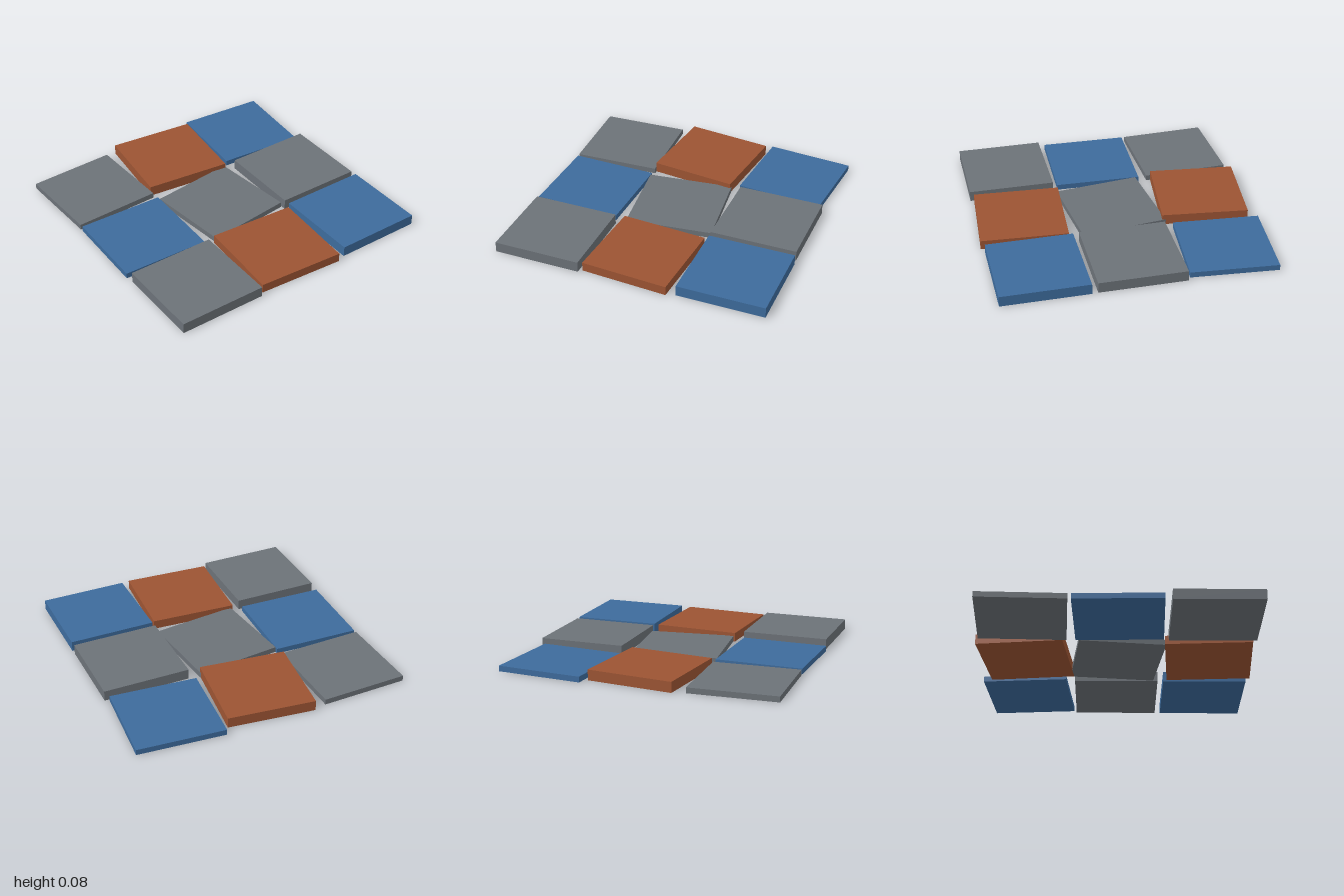
import * as THREE from 'three';

const WIDTH = 0.626, DEPTH = 0.62;   // every slab shares one footprint
const PITCH_X = 0.668, PITCH_Z = 0.662;

function material(name, color) {
  const m = new THREE.MeshStandardMaterial({ color });
  m.name = name;
  return m;
}

export function createModel() {
  const model = new THREE.Group();
  model.name = 'pavingSlabs';

  const grey = material('slate grey', 0x6c7278);
  const blue = material('blue', 0x3d6b9c);
  const rust = material('rust', 0x9c5433);

  // Slabs by row from back to front: name, material, height, twist about y
  const rows = [
    [['backLeftSlab', grey, 0.04, 0.029], ['backMiddleSlab', rust, 0.075, -0.12], ['backRightSlab', blue, 0.04, -0.087]],
    [['middleLeftSlab', blue, 0.04, -0.034], ['centreSlab', grey, 0.04, 0.11], ['middleRightSlab', grey, 0.075, -0.007]],
    [['frontLeftSlab', grey, 0.075, -0.008], ['frontMiddleSlab', rust, 0.065, -0.069], ['frontRightSlab', blue, 0.075, -0.005]],
  ];

  rows.forEach((row, r) => row.forEach(([name, mat, height, twist], c) => {
    const slab = new THREE.Mesh(new THREE.BoxGeometry(WIDTH, height, DEPTH), mat);
    slab.name = name;
    slab.position.set((c - 1) * PITCH_X - 0.007, height / 2, (r - 1) * PITCH_Z + 0.005);
    slab.rotation.y = twist;
    model.add(slab);
  }));

  return model;
}
